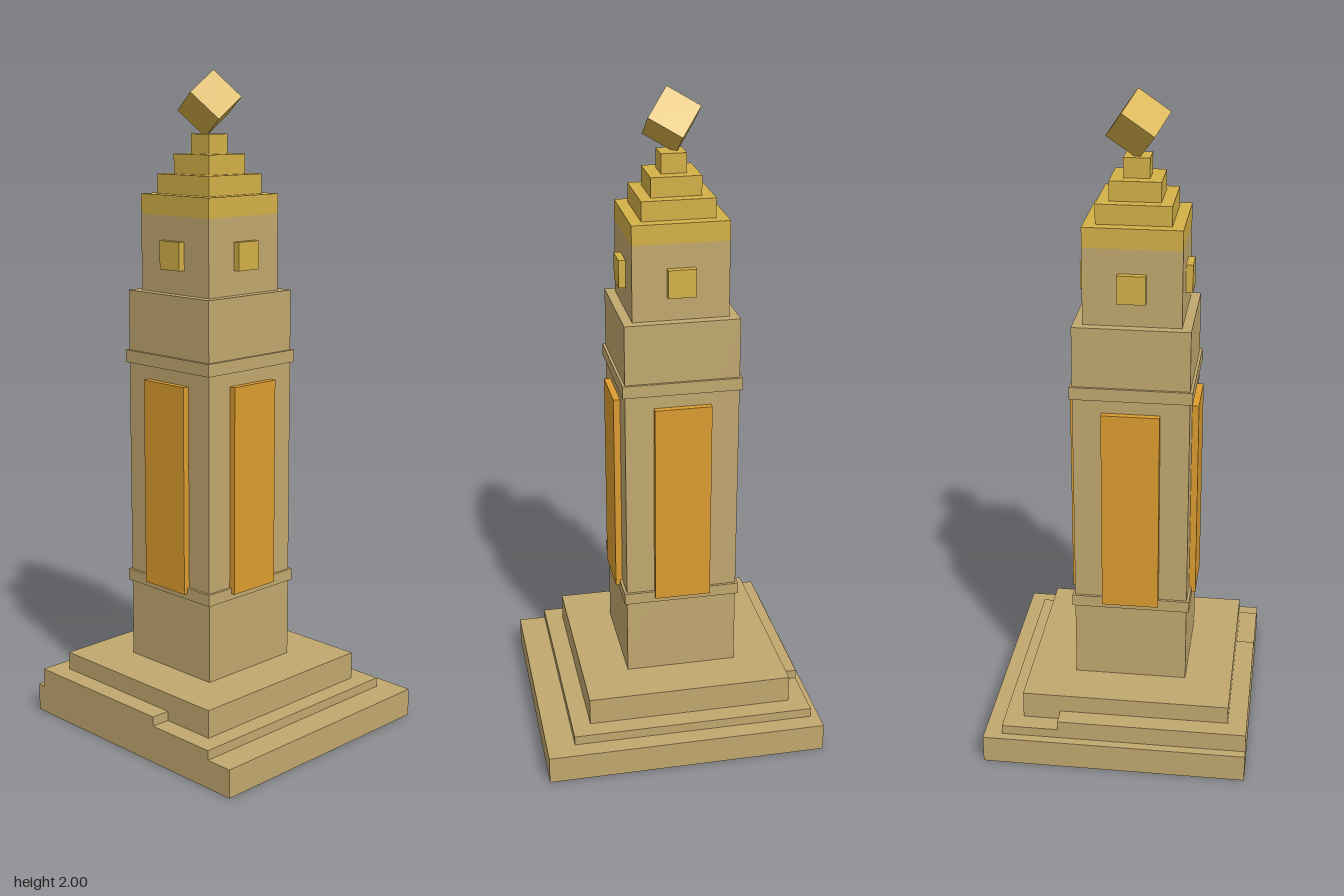
import * as THREE from 'three';

export function createModel() {
  const model = new THREE.Group();
  model.name = 'clockTower';
  const material = (name, color) => {
    const m = new THREE.MeshStandardMaterial({ color });
    m.name = name;
    return m;
  };
  const stone = material('sandstone', 0xc2a86f);
  const gold = material('gold', 0xd4b047);
  const amber = material('amber', 0xdc9d30);

  // Box given by its limits on each axis
  const block = (parent, name, mat, [x0, x1], [y0, y1], [z0, z1]) => {
    const mesh = new THREE.Mesh(new THREE.BoxGeometry(x1 - x0, y1 - y0, z1 - z0), mat);
    mesh.position.set((x0 + x1) / 2, (y0 + y1) / 2, (z0 + z1) / 2);
    mesh.name = name;
    parent.add(mesh);
    return mesh;
  };

  // Offset stepped base
  block(model, 'basePlinth', stone, [-0.43, 0.43], [0, 0.086], [-0.402, 0.402]);
  block(model, 'lowerStep', stone, [-0.403, 0.344], [0.086, 0.115], [-0.347, 0.402]);
  block(model, 'cornerStep', stone, [-0.403, 0.114], [0.115, 0.144], [-0.174, 0.402]);
  block(model, 'upperStep', stone, [-0.346, 0.287], [0.115, 0.2], [-0.289, 0.344]);

  // Tower stands slightly off the base's centre
  const tower = new THREE.Group();
  tower.name = 'tower';
  tower.position.set(-0.0295, 0, 0.0275);
  model.add(tower);

  // Square tiers: name, material, half width, bottom, top
  const tiers = [
    ['shaft', stone, 0.172, 0.2, 1.355],
    ['lowerBand', stone, 0.18, 0.443, 0.479],
    ['upperBand', stone, 0.18, 1.135, 1.173],
    ['belfry', stone, 0.1435, 1.355, 1.583],
    ['belfryCap', gold, 0.1435, 1.583, 1.642],
    ['roofStepLow', gold, 0.109, 1.642, 1.7],
    ['roofStepMiddle', gold, 0.0745, 1.7, 1.758],
    ['roofStepTop', gold, 0.038, 1.758, 1.816],
  ];
  for (const [name, mat, h, y0, y1] of tiers) {
    block(tower, name, mat, [-h, h], [y0, y1], [-h, h]);
  }

  // Tall panel and small square face on each of the four sides
  ['front', 'left', 'back', 'right'].forEach((side, i) => {
    const wall = new THREE.Group();
    wall.name = side + 'Wall';
    wall.rotation.y = i * Math.PI / 2;
    block(wall, side + 'Panel', amber, [-0.086, 0.086], [0.461, 1.094], [0.16, 0.192]);
    block(wall, side + 'SquareFace', gold, [-0.0415, 0.0415], [1.427, 1.511], [0.13, 0.164]);
    tower.add(wall);
  });

  // Tilted cube finial
  const finial = new THREE.Mesh(new THREE.BoxGeometry(0.113, 0.113, 0.113), gold);
  finial.name = 'cubeFinial';
  finial.position.set(0, 1.903, 0);
  finial.rotation.set(0.6, 0, 0.6);
  tower.add(finial);

  return model;
}
